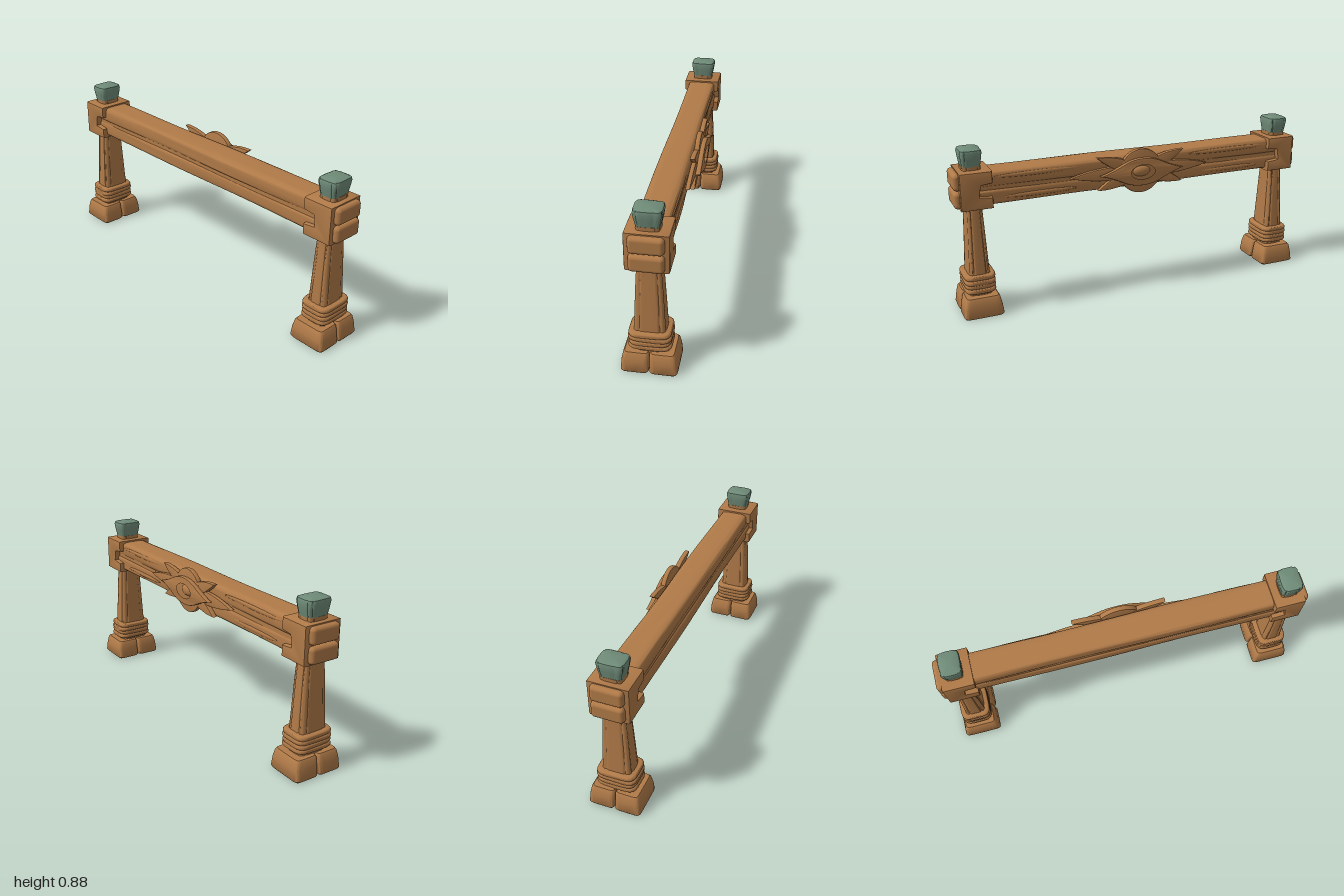
import * as THREE from 'three';
import { toCreasedNormals } from 'three/addons/utils/BufferGeometryUtils.js';
import { RoundedBoxGeometry } from 'three/addons/geometries/RoundedBoxGeometry.js';

const wood = new THREE.MeshStandardMaterial({ color: 0xb07a48 });
wood.name = 'carved wood';
const verdigris = new THREE.MeshStandardMaterial({ color: 0x6f8b78 });
verdigris.name = 'verdigris metal';

// Loft of rounded rectangles stacked along y: sections are [y, halfX, halfZ, centreX, centreZ].
function loft(sections, power = 5, rule = () => 1, n = 48) {
  const pos = [], index = [];
  const rounded = (v) => Math.sign(v) * Math.abs(v) ** (2 / power);
  sections.forEach(([y, hx, hz, cx = 0, cz = 0]) => {
    for (let j = 0; j < n; j++) {
      const t = (j / n) * Math.PI * 2, k = rule(t, y);
      pos.push(cx + hx * k * rounded(Math.cos(t)), y, cz + hz * k * rounded(Math.sin(t)));
    }
  });
  const last = sections.length - 1;
  for (let i = 0; i < last; i++) {
    for (let j = 0; j < n; j++) {
      const a = i * n + j, b = i * n + (j + 1) % n;
      index.push(a, a + n, b, b, a + n, b + n);
    }
  }
  for (const i of [0, last]) {
    const [y, , , cx = 0, cz = 0] = sections[i];
    const c = pos.length / 3;
    pos.push(cx, y, cz);
    for (let j = 0; j < n; j++) {
      const a = i * n + j, b = i * n + (j + 1) % n;
      if (i === 0) index.push(c, a, b); else index.push(c, b, a);
    }
  }
  const geo = new THREE.BufferGeometry();
  geo.setAttribute('position', new THREE.Float32BufferAttribute(pos, 3));
  geo.setIndex(index);
  return toCreasedNormals(geo, 0.75);
}

// Narrow grooves cut at the given angles.
const grooves = (angles, depth, width) => (t) =>
  1 - depth * angles.reduce((sum, a) => {
    const d = Math.atan2(Math.sin(t - a), Math.cos(t - a));
    return sum + Math.exp(-((d / width) ** 2));
  }, 0);

// Bevelled plate; total thickness is depth, starting at z = 0.
function plate(shape, depth, bevel) {
  const geo = new THREE.ExtrudeGeometry(shape, {
    depth: depth - 2 * bevel, bevelEnabled: true, bevelThickness: bevel,
    bevelSize: bevel, bevelOffset: -bevel, bevelSegments: 2, curveSegments: 24,
  });
  geo.translate(0, 0, bevel);
  return toCreasedNormals(geo, 0.6);
}

function add(parent, name, geo, x = 0, y = 0, z = 0, material = wood) {
  const mesh = new THREE.Mesh(geo, material);
  mesh.name = name;
  mesh.position.set(x, y, z);
  parent.add(mesh);
  return mesh;
}

// One end support, centred on its own x = 0 with +x facing outward.
function makeSupport() {
  const g = new THREE.Group();

  // Split foot
  for (const s of [-1, 1]) {
    add(g, 'footBlock', loft([
      [0, 0.1, 0.064, 0, s * 0.07], [0.008, 0.105, 0.069, 0, s * 0.07],
      [0.06, 0.098, 0.067, 0, s * 0.068], [0.098, 0.09, 0.063, 0, s * 0.064],
      [0.108, 0.083, 0.057, 0, s * 0.063],
    ], 9));
  }

  // Tapered, grooved post
  add(g, 'post', loft([
    [0.09, 0.062, 0.084], [0.22, 0.057, 0.079], [0.35, 0.051, 0.073],
    [0.5, 0.045, 0.065], [0.58, 0.042, 0.059], [0.74, 0.045, 0.055], [0.795, 0.049, 0.057],
  ], 5, grooves([0.35, 1.35, 1.85, 2.8, 3.5, 4.4, 4.95, 5.9], 0.07, 0.08), 96));

  // Rope binding
  for (let i = 0; i < 4; i++) {
    const sections = [];
    for (let k = 0; k <= 8; k++) {
      const a = (k / 8 - 0.5) * Math.PI, w = 0.012 * (1 - Math.cos(a));
      sections.push([0.0135 * Math.sin(a), 0.083 - w, 0.107 - w - 0.003 * (i % 2)]);
    }
    const rope = add(g, 'ropeTurn', loft(sections, 4.5), 0, 0.136 + i * 0.0235, 0);
    rope.rotation.x = (i % 2 ? 1 : -1) * 0.015;
  }

  // Clamp gripping the beam end
  const c = new THREE.Shape([
    [0.075, 0.58], [0.075, 0.775], [-0.09, 0.775], [-0.09, 0.712], [-0.03, 0.704],
    [-0.02, 0.645], [-0.088, 0.637], [-0.088, 0.58],
  ].map(([x, y]) => new THREE.Vector2(x, y)).reverse());
  add(g, 'clamp', plate(c, 0.21, 0.008), 0, 0, -0.105);

  // Swollen beam ends outside the clamp
  for (const y of [0.631, 0.725]) {
    add(g, 'beamEndPad', new RoundedBoxGeometry(0.07, 0.088, 0.166, 4, 0.02), 0.068, y, 0);
  }

  // Metal cap
  add(g, 'cap', loft([
    [0.788, 0.047, 0.056], [0.83, 0.053, 0.065], [0.862, 0.057, 0.07],
    [0.875, 0.054, 0.066], [0.88, 0.044, 0.055],
  ], 5, grooves([0.5, 1.3, 2.1, 3.3, 4.4, 5.1, 6.1], 0.06, 0.09), 72), 0, 0, 0, verdigris);
  return g;
}

// Pointed leaf along +x from the origin.
function leafShape(length, half) {
  const s = new THREE.Shape();
  s.moveTo(0, -half * 0.6);
  s.quadraticCurveTo(length * 0.5, -half * 1.7, length, 0);
  s.quadraticCurveTo(length * 0.5, half * 1.7, 0, half * 0.6);
  s.closePath();
  return s;
}

function makeOrnament() {
  const g = new THREE.Group();
  // Round backing disc
  add(g, 'backDisc', plate(new THREE.Shape().absarc(0, 0, 0.122, 0, Math.PI * 2), 0.028, 0.006), 0, 0, -0.112);

  // Leaves spreading to both sides
  for (const side of [0, Math.PI]) {
    [[0, 0.4, 0.035, 0.024], [0.36, 0.27, 0.032, 0.028], [-0.33, 0.26, 0.032, 0.028]].forEach(([turn, length, half, d]) => {
      const leaf = add(g, 'leaf', plate(leafShape(length, half), d, 0.005), 0, 0, -0.082 - d);
      leaf.rotation.z = side + (side ? -turn : turn);
    });
  }

  // Pointed frame with an oval opening
  const eye = new THREE.Shape();
  eye.moveTo(-0.24, 0);
  eye.bezierCurveTo(-0.12, 0.03, -0.1, 0.075, 0, 0.075);
  eye.bezierCurveTo(0.1, 0.075, 0.12, 0.03, 0.24, 0);
  eye.bezierCurveTo(0.12, -0.03, 0.1, -0.075, 0, -0.075);
  eye.bezierCurveTo(-0.1, -0.075, -0.12, -0.03, -0.24, 0);
  eye.holes.push(new THREE.Path().absellipse(0, 0, 0.075, 0.046, 0, Math.PI * 2, true));
  add(g, 'pointedFrame', plate(eye, 0.028, 0.006), 0, 0, -0.137);

  // Domed centre
  const boss = add(g, 'centreBoss', new THREE.SphereGeometry(1, 32, 16), 0, 0, -0.108);
  boss.scale.set(0.052, 0.03, 0.02);
  return g;
}

export function createModel() {
  const model = new THREE.Group();
  model.name = 'woodenBarrier';

  // Beam of two weathered timbers
  const beam = new THREE.Group();
  beam.name = 'beam';
  model.add(beam);
  [0.723, 0.632].forEach((y, k) => {
    const sections = [];
    for (let i = 0; i <= 32; i++) {
      const x = -0.94 + (1.88 * i) / 32;
      sections.push([x, 0.044 + 0.0012 * Math.sin(x * 7 + k * 2), 0.079 + 0.002 * Math.sin(x * 5 + k * 3)]);
    }
    // Shallow grain drifting along the length
    const grain = (t, x) => 1 - 0.02 * Math.max(0, Math.sin(5 * t + 2.5 * x + k)) ** 4;
    add(beam, 'timber', loft(sections, 5, grain), 0, y, 0).rotation.z = -Math.PI / 2;
  });
  add(beam, 'core', new THREE.BoxGeometry(1.86, 0.12, 0.146), 0, 0.678, 0);

  // Long raised splinters on the back
  [[-0.55, 0.735, 0.5], [0.55, 0.735, 0.5], [-0.55, 0.625, 0.4], [0.55, 0.625, 0.4]].forEach(([x, y, length]) => {
    const splinter = add(beam, 'splinter', new THREE.SphereGeometry(1, 20, 8), x, y, -0.077);
    splinter.scale.set(length / 2, 0.012, 0.007);
  });

  // Matching supports at both ends
  for (const side of [1, -1]) {
    const support = makeSupport();
    support.name = side > 0 ? 'leftSupport' : 'rightSupport';
    support.position.x = side * 0.895;
    if (side < 0) support.rotation.y = Math.PI;
    model.add(support);
  }

  // Carved ornament on the back
  const ornament = makeOrnament();
  ornament.name = 'ornament';
  ornament.position.y = 0.682;
  model.add(ornament);
  return model;
}
